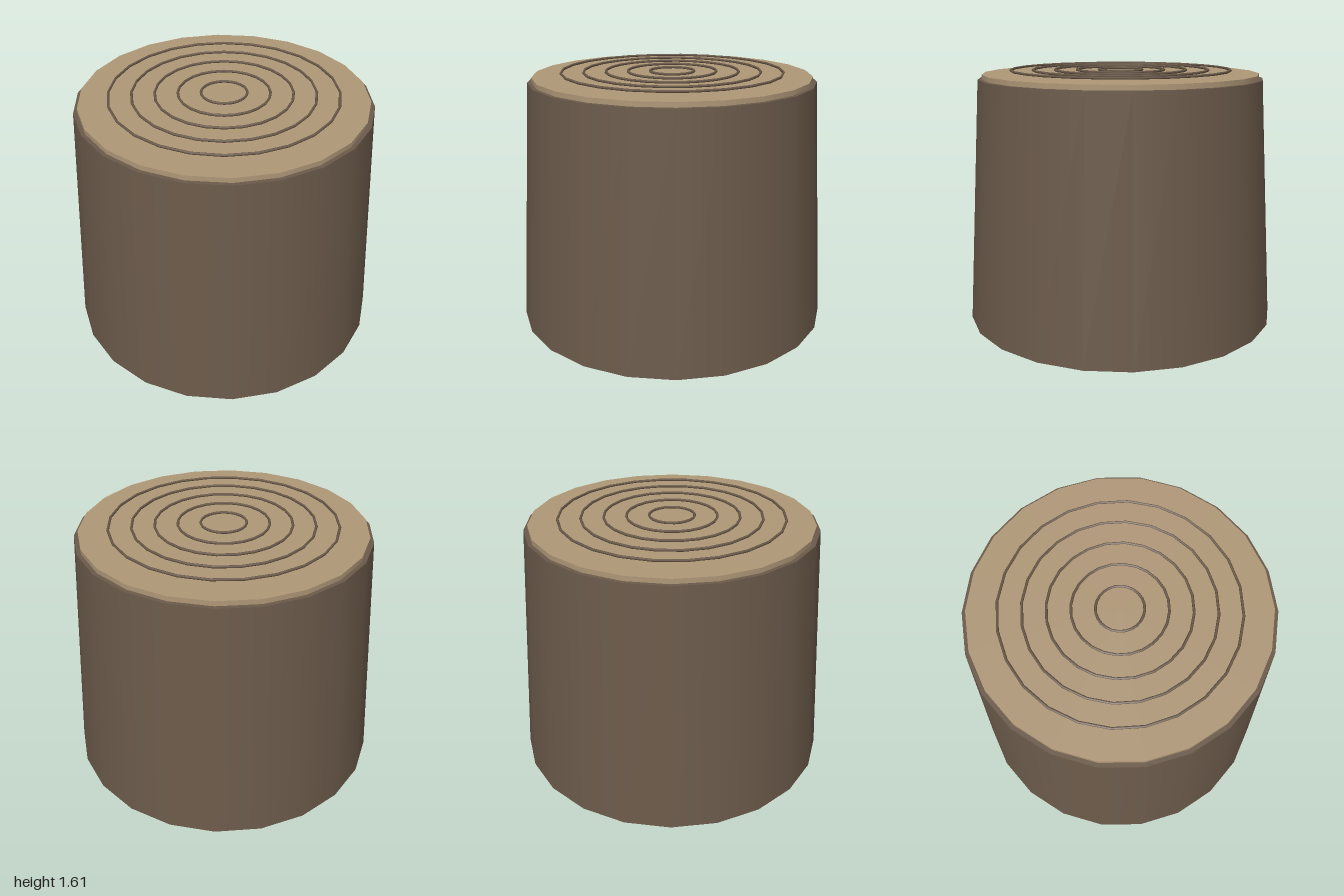
import * as THREE from 'three';

const SIDES = 22;

function material(name, color) {
  const m = new THREE.MeshStandardMaterial({ color });
  m.name = name;
  return m;
}

export function createModel() {
  const bark = material('bark brown', 0x6b5a4a);
  const wood = material('cut wood tan', 0xb09878);
  const group = new THREE.Group();
  group.name = 'treeStump';

  const add = (name, geometry, mat, y) => {
    const mesh = new THREE.Mesh(geometry, mat);
    mesh.name = name;
    mesh.position.y = y;
    group.add(mesh);
    return mesh;
  };

  // Tapered trunk, smooth around the side
  add('trunk', new THREE.CylinderGeometry(0.9, 1, 1.55, SIDES), bark, 0.775);

  // Pale cut face standing slightly proud of the bark
  add('cutFace', new THREE.CylinderGeometry(0.875, 0.875, 0.06, SIDES), wood, 1.55);

  // Five growth rings hovering just over the cut face
  for (let i = 1; i <= 5; i++) {
    const ring = new THREE.TorusGeometry(0.139 * i, 0.008, 6, 24);
    ring.rotateX(-Math.PI / 2);
    add('growthRing' + i, ring, bark, 1.6);
  }
  return group;
}
